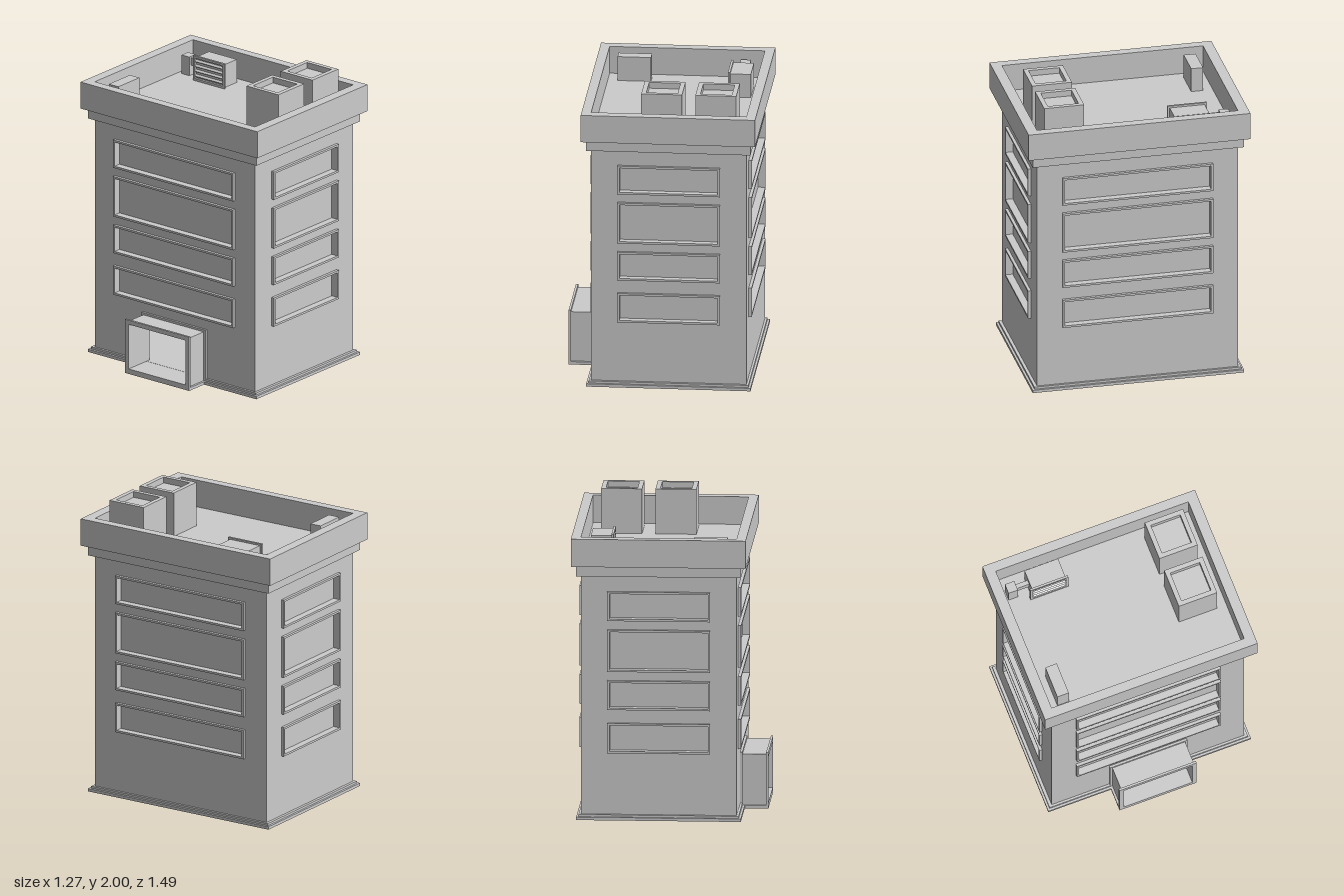
import * as THREE from 'three';

const CX = 0.06; // the building sits slightly off centre because of the porch
const DECK = 1.7;

export function createModel() {
  const model = new THREE.Group();
  const mat = new THREE.MeshStandardMaterial({ color: 0xcccccc, flatShading: true });

  const add = (parent, name, geo, x = 0, y = 0, z = 0) => {
    const m = new THREE.Mesh(geo, mat);
    m.name = name;
    m.position.set(x, y, z);
    parent.add(m);
    return m;
  };
  // box given by its extents
  const box = (parent, name, x0, x1, y0, y1, z0, z1) =>
    add(parent, name, new THREE.BoxGeometry(x1 - x0, y1 - y0, z1 - z0),
      (x0 + x1) / 2, (y0 + y1) / 2, (z0 + z1) / 2);
  const rect = (C, x0, x1, y0, y1) => new C([
    new THREE.Vector2(x0, y0), new THREE.Vector2(x1, y0),
    new THREE.Vector2(x1, y1), new THREE.Vector2(x0, y1)]);
  // rectangular panel with rectangular holes, extruded along +z
  const panel = (x0, x1, y0, y1, holes, depth) => {
    const s = rect(THREE.Shape, x0, x1, y0, y1);
    s.holes = holes.map(h => rect(THREE.Path, ...h));
    return new THREE.ExtrudeGeometry(s, { depth, bevelEnabled: false });
  };
  // rectangular frame with an even border
  const frame = (x0, x1, y0, y1, b, depth) =>
    panel(x0, x1, y0, y1, [[x0 + b, x1 - b, y0 + b, y1 - b]], depth);

  // stepped plinth
  box(model, 'plinthLower', CX - 0.54, CX + 0.54, 0, 0.02, -0.71, 0.71);
  box(model, 'plinthUpper', CX - 0.525, CX + 0.525, 0.02, 0.035, -0.695, 0.695);

  // four walls with recessed ribbon windows
  const rows = [[0.445, 0.645], [0.735, 0.93], [0.99, 1.27], [1.33, 1.525]];
  const T = 0.03, B = 0.014;
  const sides = [
    { name: 'front', angle: 0, half: 0.51, dist: 0.675, win: 0.337 },
    { name: 'back', angle: Math.PI, half: 0.51, dist: 0.675, win: 0.337 },
    { name: 'left', angle: Math.PI / 2, half: 0.675 - T, dist: 0.51, win: 0.505 },
    { name: 'right', angle: -Math.PI / 2, half: 0.675 - T, dist: 0.51, win: 0.505, door: true },
  ];
  for (const s of sides) {
    const g = new THREE.Group();
    g.name = s.name + 'Side';
    g.position.x = CX;
    g.rotation.y = s.angle;
    model.add(g);
    const holes = rows.map(([a, b]) => [-s.win + B, s.win - B, a + B, b - B]);
    if (s.door) holes.push([-0.24, 0.24, 0.036, 0.345]);
    add(g, 'wall', panel(-s.half, s.half, 0.035, 1.63, holes, T), 0, 0, s.dist - T);
    for (const [a, b] of rows) {
      add(g, 'windowFrame', frame(-s.win, s.win, a, b, B, 0.02), 0, 0, s.dist);
      add(g, 'windowPane', new THREE.PlaneGeometry(2 * s.win, b - a), 0, (a + b) / 2, s.dist - T + 0.001);
    }
  }

  // cornice, roof deck and parapet
  box(model, 'corniceAndDeck', CX - 0.54, CX + 0.54, 1.63, DECK, -0.71, 0.71);
  const parapet = panel(-0.573, 0.573, -0.745, 0.745, [[-0.51, 0.51, -0.675, 0.675]], 0.185);
  add(model, 'parapet', parapet.rotateX(-Math.PI / 2), CX, DECK, 0);

  // two open-topped roof shafts
  for (const x of [0.007, 0.363]) {
    const g = new THREE.Group();
    g.name = 'roofShaft';
    g.position.set(x, 0, 0.475);
    model.add(g);
    box(g, 'shaftBody', -0.134, 0.134, DECK, 1.96, -0.134, 0.134);
    add(g, 'shaftRim', frame(-0.134, 0.134, -0.134, 0.134, 0.031, 0.04).rotateX(-Math.PI / 2), 0, 1.96, 0);
  }

  // small roof box
  box(model, 'roofBox', -0.385, -0.165, DECK, 1.865, -0.61, -0.53);

  // ventilation unit with louvred face and duct
  const vent = new THREE.Group();
  vent.name = 'ventilationUnit';
  model.add(vent);
  box(vent, 'ventBody', 0.38, 0.515, DECK, 1.86, -0.495, -0.26);
  add(vent, 'louvreFrame', frame(-0.51, -0.245, DECK, 1.873, 0.016, 0.015).rotateY(-Math.PI / 2), 0.38, 0, 0);
  for (let i = 0; i < 4; i++) {
    const slat = add(vent, 'louvreSlat', new THREE.BoxGeometry(0.018, 0.008, 0.235), 0.374, 1.735 + i * 0.034, -0.3775);
    slat.rotation.z = 0.6;
  }
  box(vent, 'duct', 0.43, 0.46, 1.77, 1.82, -0.63, -0.495);
  box(vent, 'ductOutlet', 0.415, 0.482, DECK, 1.83, -0.645, -0.58);

  // hollow entrance porch
  const porch = new THREE.Group();
  porch.name = 'porch';
  model.add(porch);
  box(porch, 'porchFloor', -0.635, -0.48, 0, 0.02, -0.27, 0.27);
  const porchRing = (name, half, y0, y1, b, x, depth) =>
    add(porch, name, frame(-half, half, y0, y1, b, depth).rotateY(-Math.PI / 2), x, 0, 0);
  porchRing('porchShell', 0.255, 0.02, 0.36, 0.015, -0.45, 0.17);
  porchRing('porchFrontTrim', 0.27, 0.005, 0.375, 0.03, -0.62, 0.015);
  porchRing('porchWallTrim', 0.27, 0.005, 0.375, 0.03, -0.45, 0.015);

  return model;
}
